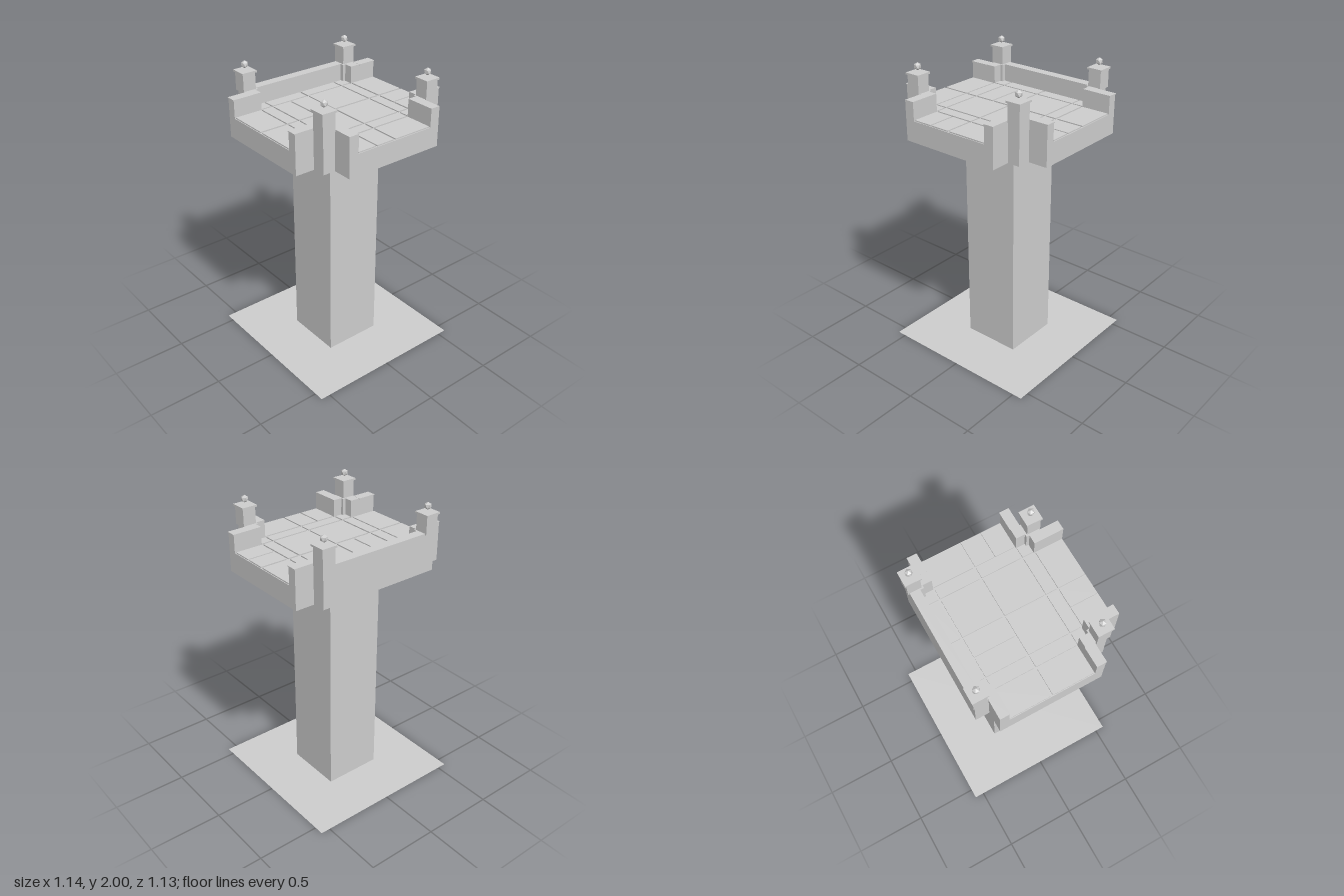
import * as THREE from 'three';

export function createModel() {
  const model = new THREE.Group();
  model.name = 'lookoutTower';
  const stone = new THREE.MeshStandardMaterial({ color: 0xcccccc, flatShading: true });
  stone.name = 'paleGreyStone';
  const ground = new THREE.MeshStandardMaterial({ color: 0xcccccc, side: THREE.DoubleSide });
  ground.name = 'groundGrey';

  const add = (name, geometry, material = stone, parent = model) => {
    const mesh = new THREE.Mesh(geometry, material);
    mesh.name = name;
    parent.add(mesh);
    return mesh;
  };
  // Box given by its limits on each axis
  const block = (name, x0, x1, y0, y1, z0, z1, parent = model) => {
    const mesh = add(name, new THREE.BoxGeometry(x1 - x0, y1 - y0, z1 - z0), stone, parent);
    mesh.position.set((x0 + x1) / 2, (y0 + y1) / 2, (z0 + z1) / 2);
    return mesh;
  };

  const under = 1.55, bed = 1.692, floor = 1.7, wallTop = 1.815;

  // Flat ground sheet and square shaft
  add('groundSheet', new THREE.PlaneGeometry(1.13, 1.13).rotateX(-Math.PI / 2), ground);
  block('shaft', -0.2, 0.2, 0, under, -0.2, 0.2);

  // Deck with bays to the left, right and front; the back is closed
  const outline = [
    [-0.35, 0.565], [0.35, 0.565], [0.35, 0.435], [0.435, 0.435], [0.435, 0.345], [0.565, 0.345],
    [0.565, -0.345], [0.435, -0.345], [0.435, -0.435], [-0.435, -0.435], [-0.435, -0.345],
    [-0.565, -0.345], [-0.565, 0.345], [-0.435, 0.345], [-0.435, 0.435], [-0.35, 0.435],
  ];
  const deck = new THREE.Shape(outline.map(([x, z]) => new THREE.Vector2(x, -z)));
  const deckGeometry = new THREE.ExtrudeGeometry(deck, { depth: bed - under, bevelEnabled: false });
  add('deck', deckGeometry.rotateX(-Math.PI / 2)).position.y = under;

  // Paving: each row is [z0, z1, tile x ranges]
  const A = [-0.56, -0.375], B = [-0.365, -0.29], C = [-0.278, -0.148], D = [-0.138, -0.007];
  const CD = [-0.278, -0.007], E = [0.005, 0.277], F = [0.288, 0.36], G = [0.373, 0.56];
  const rows = [
    [-0.368, -0.292, [B, CD, E, F]],
    [-0.28, -0.01, [A, B, C, D, E, F, G]],
    [0.005, 0.275, [A, B, CD, E, F]],
    [0.005, 0.135, [G]],
    [0.145, 0.275, [G]],
    [0.288, 0.36, [B, CD, E, F]],
    [0.373, 0.56, [C, D, E]],
  ];
  const paving = new THREE.Group();
  paving.name = 'paving';
  model.add(paving);
  for (const [z0, z1, tiles] of rows)
    for (const [x0, x1] of tiles) block('pavingTile', x0, x1, bed, floor, z0, z1, paving);

  // Parapets
  block('backParapet', -0.36, 0.36, bed, wallTop, -0.435, -0.37);
  for (const sx of [-1, 1]) {
    const span = (a, b) => (sx > 0 ? [a, b] : [-b, -a]);
    block('frontBayWall', ...span(0.283, 0.35), bed, wallTop, 0.365, 0.565);
    for (const sz of [-1, 1]) {
      const depth = (a, b) => (sz > 0 ? [a, b] : [-b, -a]);
      block('sideBayWall', ...span(0.365, 0.565), bed, wallTop, ...depth(0.285, 0.345));
      block('sideBayCoping', ...span(0.435, 0.569), wallTop - 0.005, wallTop + 0.001, ...depth(0.281, 0.347));

      // Corner post with cap and faceted ball
      block('postBase', ...span(0.345, 0.435), bed, wallTop, ...depth(0.345, 0.435));
      const post = new THREE.Group();
      post.name = 'cornerPost';
      post.position.set(sx * 0.4, 0, sz * 0.4);
      model.add(post);
      block('postShaft', -0.045, 0.045, 1.805, 1.925, -0.045, 0.045, post);
      block('postCap', -0.053, 0.053, 1.925, 1.938, -0.053, 0.053, post);
      const ball = new THREE.IcosahedronGeometry(0.025, 0);
      ball.rotateZ(-Math.atan(2 / (1 + Math.sqrt(5))));
      add('finialBall', ball, stone, post).position.y = 1.975;
    }
  }
  return model;
}
